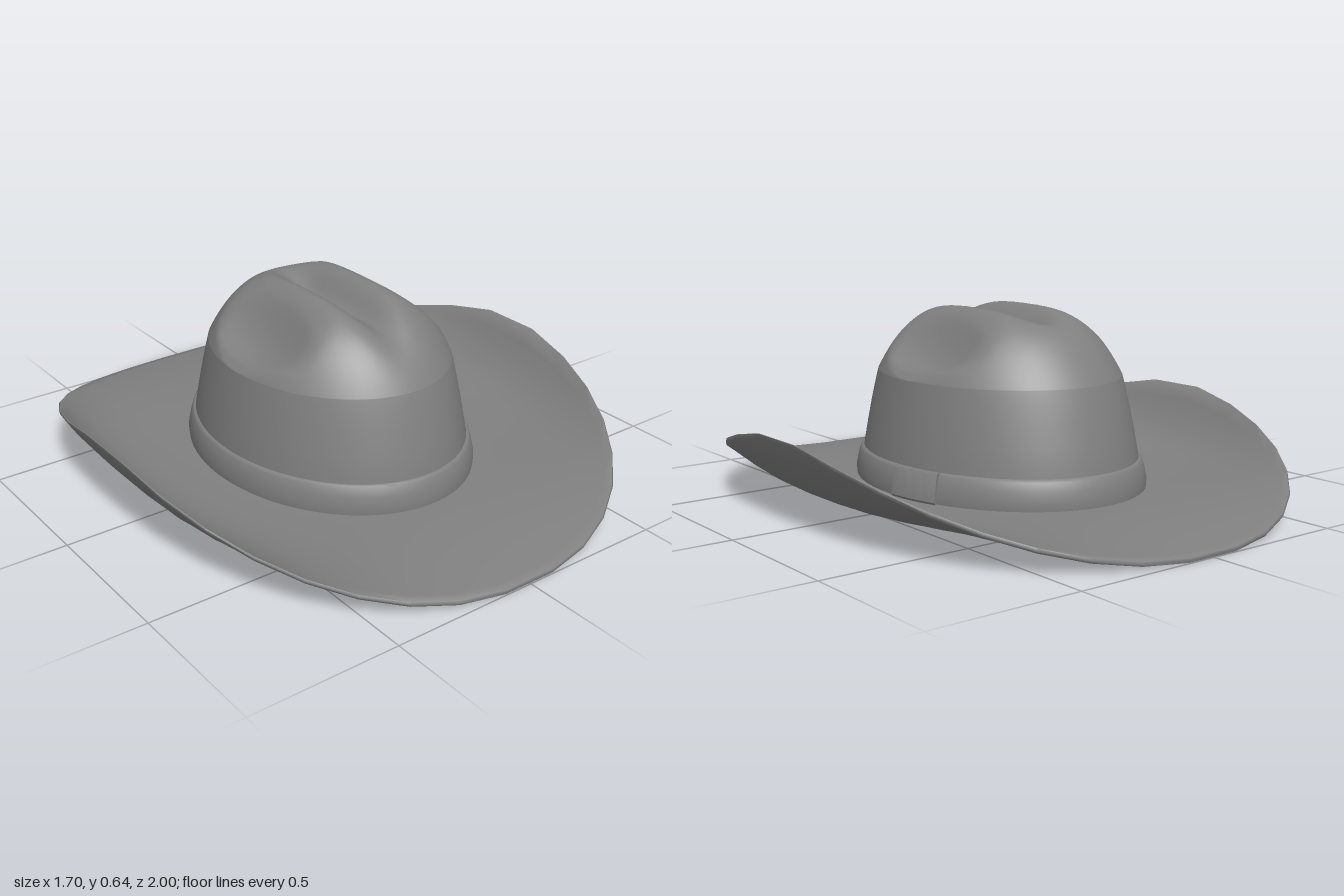
import * as THREE from 'three';
import { mergeVertices, toCreasedNormals } from 'three/addons/utils/BufferGeometryUtils.js';

// Lofts a grid of points: point(i, j) at angular step i and section step j.
function loft(nAngle, nSection, closed, point) {
  const positions = [];
  const index = [];
  const columns = closed ? nAngle : nAngle + 1;
  for (let i = 0; i < columns; i++) {
    for (let j = 0; j <= nSection; j++) positions.push(...point(i, j));
  }
  for (let i = 0; i < nAngle; i++) {
    for (let j = 0; j < nSection; j++) {
      const a = i * (nSection + 1) + j;
      const d = ((i + 1) % columns) * (nSection + 1) + j;
      index.push(a, a + 1, d + 1, a, d + 1, d);
    }
  }
  const geometry = new THREE.BufferGeometry();
  geometry.setAttribute('position', new THREE.Float32BufferAttribute(positions, 3));
  geometry.setIndex(index);
  const merged = mergeVertices(geometry, 1e-5);
  merged.computeVertexNormals();
  return merged;
}

const smooth = THREE.MathUtils.smoothstep;

// Minimum of a and b with the corner rounded over a range k
function roundedMin(a, b, k) {
  const h = Math.max(k - Math.abs(a - b), 0) / k;
  return Math.min(a, b) - (h * h * k) / 4;
}

// Brim: oval sheet, rolled up at the sides and dipping at front and back
function brimGeometry() {
  const N = 36;
  const thickness = 0.015;
  const section = []; // [t from hole to rim, height within the thickness]
  const steps = 16;
  for (let k = 0; k <= steps; k++) section.push([k / steps, 0]);
  section.push([1.008, 0.5]);
  for (let k = steps; k >= 0; k--) section.push([k / steps, 1]);
  section.push([0, 0]);

  return loft(N, section.length - 1, true, (i, j) => {
    const angle = ((i + 0.5) / N) * Math.PI * 2;
    const c = Math.cos(angle);
    const s = Math.sin(angle);
    const power = 2 / 2.22;
    const ox = 0.848 * Math.sign(c) * Math.abs(c) ** power;
    const oz = 0.999 * Math.sign(s) * Math.abs(s) ** power;
    const [t, h] = section[j];
    const rimY = 0.284 - 0.284 * Math.abs(oz) ** 1.5;
    const curl = 2 + 2 * c * c;
    return [
      THREE.MathUtils.lerp(0.427 * c, ox, t),
      0.046 + (rimY - 0.046) * t ** curl + h * thickness,
      THREE.MathUtils.lerp(0.537 * s, oz, t),
    ];
  });
}

// Crown: tapering wall, rounded top with a centre crease and two side dents
function crownGeometry() {
  const wall = [[0.05, 0.428, 0.538], [0.16, 0.418, 0.528], [0.24, 0.406, 0.511],
    [0.32, 0.393, 0.491], [0.38, 0.382, 0.474]];
  const topSteps = 32;
  return loft(96, wall.length + topSteps, true, (i, j) => {
    const angle = (i / 96) * Math.PI * 2;
    const c = Math.cos(angle);
    const s = Math.sin(angle);
    if (j < wall.length) return [wall[j][1] * c, wall[j][0], wall[j][2] * s];

    const r = Math.sin((1 - (j - wall.length) / topSteps) * Math.PI / 2);
    const x = 0.375 * r * c;
    const z = 0.46 * r * s;
    const dome = 1 - r ** 3.6;
    const sideSlope = (0.375 - Math.abs(x)) / 0.255;
    let y = 0.42 + 0.228 * roundedMin(sideSlope, dome, 0.3 * Math.min(dome, 0.4) + 1e-4);
    const fade = z > 0 ? smooth(z, 0.12, 0.48) : smooth(-z, 0.1, 0.34);
    y -= 0.085 * Math.exp(-((x / 0.065) ** 2)) * (1 - fade);
    const dent = ((Math.abs(x) - 0.26) / 0.09) ** 2 + (z / 0.25) ** 2;
    y -= 0.042 * Math.max(0, 1 - dent) ** 1.3;
    return [x, y, z];
  });
}

// Oval strip around the crown; section holds [y, outward offset]
function strip(section, from, to, steps, closed) {
  const last = steps + (closed ? 0 : 2);
  return loft(last, section.length - 1, closed, (i, j) => {
    let [y, offset] = section[j];
    let k = i;
    if (!closed) {
      // the first and last columns collapse to a point to cap the ends
      if (i === 0 || i === last) [y, offset] = [0.11, 0.014];
      k = THREE.MathUtils.clamp(i - 1, 0, steps);
    }
    const angle = from + ((to - from) * k) / steps;
    return [(0.42 + offset) * Math.cos(angle), y, (0.53 + offset) * Math.sin(angle)];
  });
}

export function createModel() {
  const hat = new THREE.Group();
  hat.name = 'hat';
  const material = new THREE.MeshStandardMaterial({ color: 0x808080, side: THREE.DoubleSide });
  const add = (name, geometry) => {
    const mesh = new THREE.Mesh(geometry, material);
    mesh.name = name;
    hat.add(mesh);
  };

  add('brim', toCreasedNormals(brimGeometry(), 1.2));
  add('crown', crownGeometry());

  // Hat band, and the raised keeper on its left side
  const band = [[0.055, 0.009], [0.06, 0.024], [0.085, 0.026], [0.12, 0.019],
    [0.148, 0.011], [0.155, 0.006], [0.157, -0.001]];
  add('hatBand', toCreasedNormals(strip(band, 0, Math.PI * 2, 96, true), 0.9));

  const keeper = [[0.06, 0.009], [0.06, 0.034], [0.068, 0.038], [0.15, 0.024],
    [0.157, 0.018], [0.157, -0.001], [0.06, 0.009]];
  add('bandKeeper', toCreasedNormals(strip(keeper, -0.4, -0.06, 8, false), 0.6));

  return hat;
}
